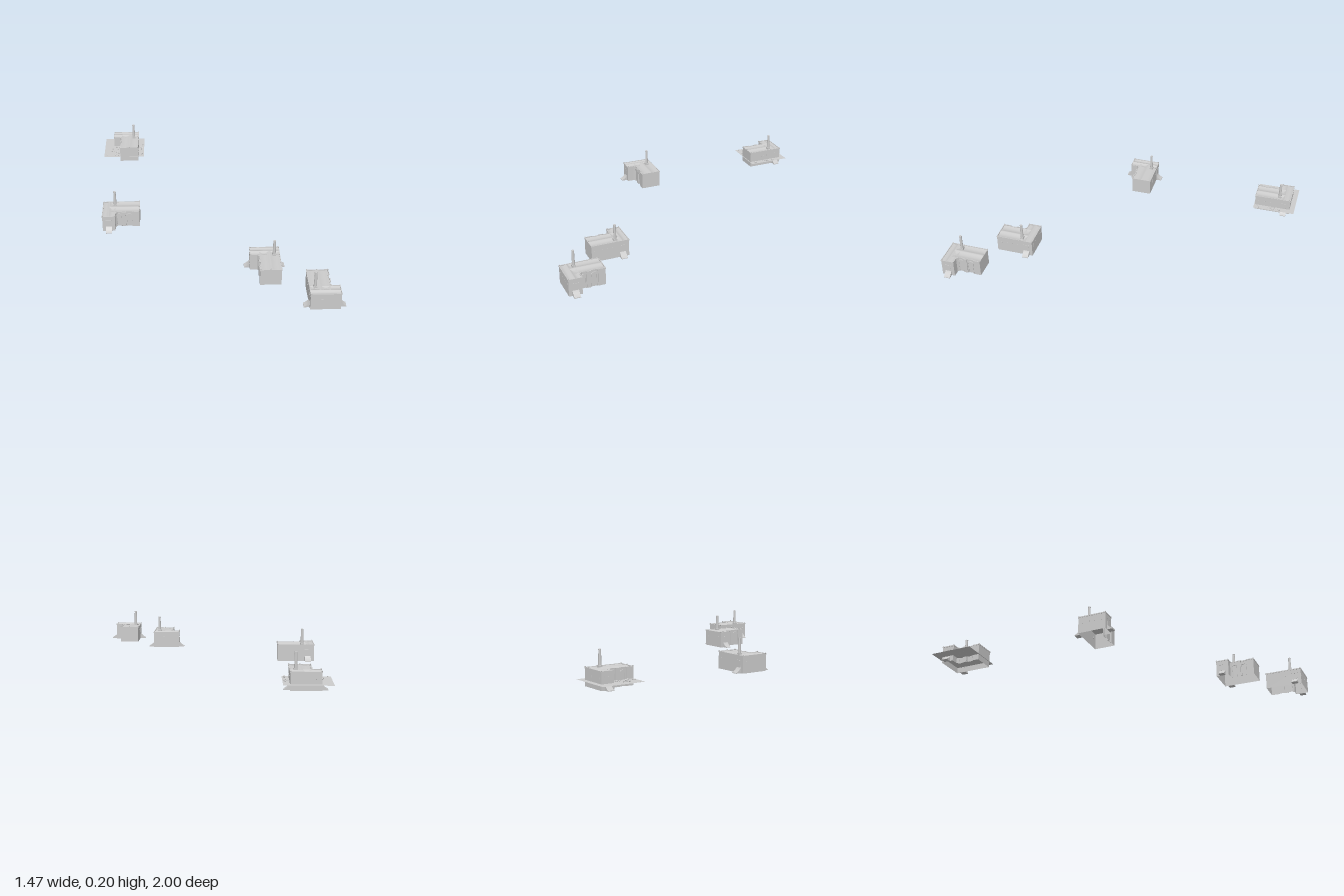
import * as THREE from 'three';

const grey = new THREE.MeshStandardMaterial({ color: 0xcccccc, side: THREE.DoubleSide, flatShading: true });
const smooth = new THREE.MeshStandardMaterial({ color: 0xcccccc, side: THREE.DoubleSide });

const WALL = 0.1;
// L-shaped plan (x, z): a cross bar with a long wing; the wing has two bay recesses
const PLAN = [
  [-0.0875, -0.04], [0.0875, -0.04], [0.0875, 0.193], [-0.039, 0.193],
  [-0.039, 0.149], [-0.032, 0.149], [-0.032, 0.106], [-0.039, 0.106],
  [-0.039, 0.082], [-0.032, 0.082], [-0.032, 0.054], [-0.046, 0.04], [-0.0875, 0.04],
];

function add(parent, name, geometry, x = 0, y = 0, z = 0, material = grey) {
  const mesh = new THREE.Mesh(geometry, material);
  mesh.name = name;
  mesh.position.set(x, y, z);
  parent.add(mesh);
  return mesh;
}
const box = (w, h, d) => new THREE.BoxGeometry(w, h, d);

// Sheet of given width (x) and length (z), sagging on both sides of a low ridge
function saggingRoof(width, length) {
  const g = new THREE.PlaneGeometry(width, length, 16, 1).rotateX(-Math.PI / 2);
  const p = g.attributes.position;
  for (let i = 0; i < p.count; i++) {
    const t = Math.abs(p.getX(i)) / (width / 2);
    p.setY(i, 0.107 - 0.003 * t - 0.006 * Math.sin(Math.PI * t));
  }
  g.computeVertexNormals();
  return g;
}

function createBuilding() {
  const b = new THREE.Group();
  b.name = 'building';

  // Open-bottomed walls and a cornice along every side of the plan
  PLAN.forEach(([x0, z0], i) => {
    const [x1, z1] = PLAN[(i + 1) % PLAN.length];
    const len = Math.hypot(x1 - x0, z1 - z0);
    const turn = Math.atan2(-(z1 - z0), x1 - x0) + Math.PI;
    const mx = (x0 + x1) / 2, mz = (z0 + z1) / 2;
    add(b, 'wall', new THREE.PlaneGeometry(len, WALL), mx, WALL / 2, mz).rotation.y = turn;
    add(b, 'cornice', box(len + 0.003, 0.007, 0.004), mx, 0.103, mz).rotation.y = turn;
  });

  // Flat deck under the sagging roofs
  const shape = new THREE.Shape(PLAN.map(([x, z]) => new THREE.Vector2(x, -z)));
  add(b, 'roofDeck', new THREE.ShapeGeometry(shape).rotateX(-Math.PI / 2), 0, 0.099, 0);
  add(b, 'barRoof', saggingRoof(0.08, 0.175), 0, 0, 0, smooth).rotation.y = Math.PI / 2;
  add(b, 'wingRoof', saggingRoof(0.1195, 0.193), 0.02775, 0, 0.0965, smooth);

  // Finials on the roof corners and the wing's ridge end
  const finial = new THREE.SphereGeometry(0.0035, 8, 6);
  for (const [x, z] of [[-0.0855, -0.038], [0.0855, -0.038], [-0.0855, 0.038], [0.0855, 0.038],
    [-0.037, 0.191], [0.024, 0.191], [0.0855, 0.191]]) add(b, 'finial', finial, x, 0.109, z, smooth);

  // Tapered chimney with a collar and a rim
  add(b, 'chimneyBase', box(0.022, 0.012, 0.022), 0.0545, 0.106, 0.036);
  add(b, 'chimney', new THREE.CylinderGeometry(0.0075, 0.0095, 0.104, 12), 0.0545, 0.152, 0.036, smooth);
  add(b, 'chimneyRim', new THREE.CylinderGeometry(0.0085, 0.0085, 0.006, 12), 0.0545, 0.2, 0.036, smooth);

  // Arched window hoods in the two bays
  for (const [z, w] of [[0.064, 0.034], [0.1275, 0.038]]) {
    const arch = new THREE.Shape();
    arch.moveTo(-w / 2, 0.074);
    arch.lineTo(-w / 2, 0.084);
    arch.quadraticCurveTo(0, 0.1, w / 2, 0.084);
    arch.lineTo(w / 2, 0.074);
    arch.quadraticCurveTo(0, 0.084, -w / 2, 0.074);
    const hood = new THREE.ExtrudeGeometry(arch, { depth: 0.005, bevelEnabled: false });
    add(b, 'bayHood', hood, -0.032, 0, z).rotation.y = -Math.PI / 2;
    for (const s of [-1, 1]) add(b, 'bayPost', box(0.004, 0.076, 0.004), -0.034, 0.038, z + s * (w / 2 - 0.003));
  }

  // Loading ramp, door and lintel on both ends of the bar
  const profile = new THREE.Shape();
  profile.moveTo(0, 0);
  profile.lineTo(0.034, 0);
  profile.lineTo(0.034, 0.004);
  profile.quadraticCurveTo(0.012, 0.014, 0, 0.033);
  const ramp = new THREE.ExtrudeGeometry(profile, { depth: 0.038, bevelEnabled: false }).translate(0, 0, -0.019);
  for (const s of [1, -1]) {
    const end = new THREE.Group();
    end.name = 'doorEnd';
    end.rotation.y = s > 0 ? 0 : Math.PI;
    end.position.x = s * 0.0875;
    add(end, 'ramp', ramp);
    add(end, 'door', box(0.002, 0.04, 0.03), 0, 0.053, 0);
    add(end, 'lintel', box(0.004, 0.003, 0.04), 0, 0.075, 0);
    b.add(end);
  }

  // Small windows along the long blank sides
  for (let i = 0; i < 4; i++) {
    add(b, 'backWindow', box(0.014, 0.012, 0.002), -0.06 + i * 0.04, 0.066, -0.04);
    add(b, 'sideWindow', box(0.002, 0.012, 0.014), 0.0875, 0.066, 0.06 + i * 0.036);
  }
  return b;
}

export function createModel() {
  const model = new THREE.Group();
  model.name = 'factoryBuildings';

  // Four copies: x, z, turn
  for (const [x, z, turn] of [[-0.585, -0.928, 0], [-0.655, 0.072, Math.PI / 2],
    [0.2965, 0.565, 0], [0.61, 0.957, Math.PI]]) {
    const b = createBuilding();
    b.position.set(x, 0, z);
    b.rotation.y = turn;
    model.add(b);
  }

  // Ground sheet part way up the rear building, with scattered rubble
  const ground = new THREE.PlaneGeometry(0.28, 0.27).rotateX(-Math.PI / 2);
  add(model, 'ground', ground, -0.598, 0.036, -0.865);
  let seed = 7;
  const rnd = () => (seed = (seed * 16807) % 2147483647) / 2147483647;
  for (let i = 0; i < 26; i++) {
    const left = i < 16;
    const x = left ? -0.72 + rnd() * 0.09 : -0.49 + rnd() * 0.02;
    const z = left ? -0.87 + rnd() * 0.13 : -0.95 + rnd() * 0.21;
    const s = 0.003 + rnd() * 0.005;
    add(model, 'rubble', new THREE.DodecahedronGeometry(s, 0), x, 0.037 + s * 0.5, z).rotation.y = rnd() * 3;
  }
  return model;
}
